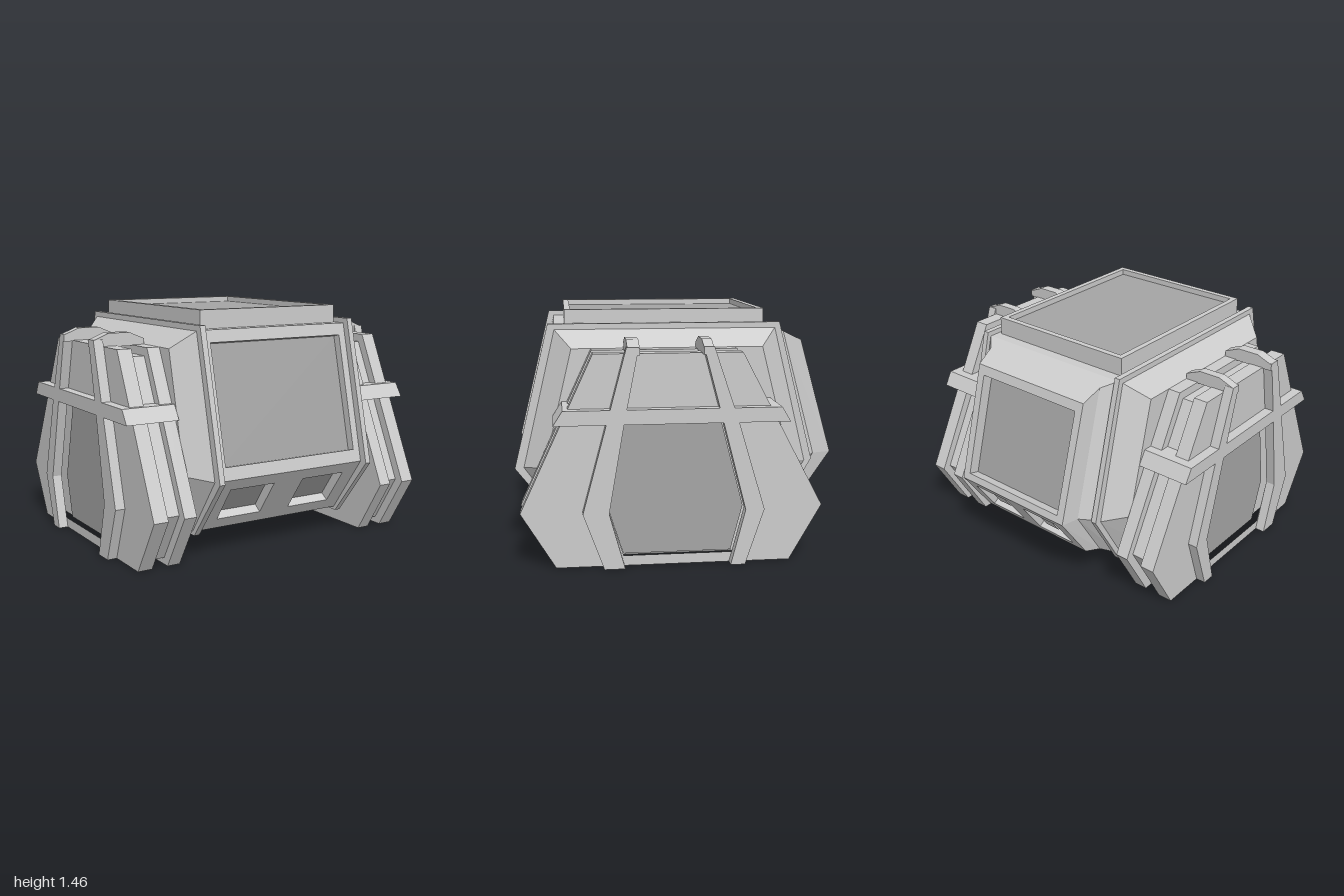
import * as THREE from 'three';

const grey = new THREE.MeshStandardMaterial({ color: 0xcccccc, flatShading: true });
const dark = new THREE.MeshStandardMaterial({ color: 0xa4a4a4, flatShading: true });

function add(parent, name, geometry, material = grey) {
  const mesh = new THREE.Mesh(geometry, material);
  mesh.name = name;
  parent.add(mesh);
  return mesh;
}

// Geometry from convex polygons, each a list of [x, y, z] corners
function polygons(list) {
  const pos = [];
  for (const p of list)
    for (let i = 1; i < p.length - 1; i++) pos.push(...p[0], ...p[i], ...p[i + 1]);
  const g = new THREE.BufferGeometry();
  g.setAttribute('position', new THREE.Float32BufferAttribute(pos, 3));
  g.computeVertexNormals();
  return g;
}

// Band of quads between two closed rings
const loft = (a, b) => a.map((p, i) => {
  const j = (i + 1) % a.length;
  return [p, a[j], b[j], b[i]];
});

// Side profile of [z, y] points extruded across x
function prism(profile, xa, xb, hole) {
  const toPts = (pts) => pts.map(([z, y]) => new THREE.Vector2(-z, y));
  const shape = new THREE.Shape(toPts(profile));
  if (hole) shape.holes.push(new THREE.Path(toPts(hole)));
  const g = new THREE.ExtrudeGeometry(shape, { depth: Math.abs(xb - xa), bevelEnabled: false });
  return g.rotateY(Math.PI / 2).translate(Math.min(xa, xb), 0, 0);
}

// Flat face from a bottom edge to a top edge ([z, y] each) with recessed rectangles
// hole: [u0, u1, t0, t1], u across and t as a fraction of the height
function recessedFace(parent, name, half, bottom, top, dir, holes, depth, stud) {
  const v = new THREE.Vector3(0, top[1] - bottom[1], top[0] - bottom[0]);
  const len = v.length();
  v.normalize();
  const u = new THREE.Vector3(dir, 0, 0);
  const face = new THREE.Group();
  face.name = name;
  face.applyMatrix4(new THREE.Matrix4().makeBasis(u, v, u.clone().cross(v)).setPosition(0, bottom[1], bottom[0]));
  const vec = (pts) => pts.map(([x, y]) => new THREE.Vector2(x, y));
  const shape = new THREE.Shape(vec([[-half, 0], [half, 0], [half, len], [-half, len]]));
  for (const [u0, u1, t0, t1] of holes) {
    const c = [[u0, t0 * len], [u1, t0 * len], [u1, t1 * len], [u0, t1 * len]];
    shape.holes.push(new THREE.Path(vec(c)));
    const floor = c.map(([x, y]) => [x, y, -depth]);
    add(face, name + 'Recess', polygons(loft(c.map(([x, y]) => [x, y, 0]), floor)));
    add(face, name + 'Panel', polygons([floor]), dark);
    if (stud) {
      const s = add(face, name + 'Stud', new THREE.BoxGeometry(stud, stud, depth * 0.7));
      s.position.set((u0 + u1) / 2, (t0 + t1) * len / 2, -depth * 0.65);
    }
  }
  add(face, name + 'Surface', new THREE.ShapeGeometry(shape));
  parent.add(face);
}

// Hull side profile, counter-clockwise seen from +x
const HULL = [[0.7, 0.155], [-0.6, 0.155], [-0.8, 0.505], [-0.595, 1.345], [0.75, 1.345], [0.95, 0.505]];
const BULGE = [[0.62, 0.24], [-0.51, 0.24], [-0.67, 0.53], [-0.49, 1.24], [0.65, 1.24], [0.82, 0.53]];
const FLANGE = [[0.715, 0.135], [-0.62, 0.135], [-0.84, 0.515], [-0.62, 1.375], [0.785, 1.375], [1, 0.5]];

function hull() {
  const g = new THREE.Group();
  g.name = 'hull';
  const w = 0.515;
  add(g, 'floorAndRoof', polygons([
    [[-w, 0.155, -0.6], [w, 0.155, -0.6], [w, 0.155, 0.7], [-w, 0.155, 0.7]],
    [[-w, 1.345, 0.75], [w, 1.345, 0.75], [w, 1.345, -0.595], [-w, 1.345, -0.595]],
  ]));

  // Front windscreen and lower vents
  recessedFace(g, 'frontWindow', w, HULL[5], HULL[4], 1, [[-0.465, 0.465, 0.09, 0.915]], 0.05);
  recessedFace(g, 'frontVent', w, HULL[0], HULL[5], 1,
    [[-0.41, -0.105, 0.2, 0.8], [0.105, 0.41, 0.2, 0.8]], 0.06);

  // Rear housing, tapering in two steps
  const ring = (x, p) => [[x, p[0]], [-x, p[0]], [-x, p[1]], [-x, p[2]], [x, p[2]], [x, p[1]]]
    .map(([px, [z, y]]) => [px, y, z]);
  const base = ring(w, [HULL[1], HULL[2], HULL[3]]);
  const mid = ring(0.44, [[-0.68, 0.195], [-0.88, 0.525], [-0.67, 1.308]]);
  const end = [[-0.79, 0.23], [-0.995, 0.53], [-0.79, 1.25]];
  add(g, 'rearHousing', polygons([...loft(base, mid), ...loft(mid, ring(0.42, end))]));
  recessedFace(g, 'rearWindow', 0.42, end[1], end[2], -1, [[-0.37, 0.37, 0.06, 0.92]], 0.07);
  recessedFace(g, 'rearVent', 0.42, end[0], end[1], -1,
    [[-0.34, -0.07, 0.16, 0.84], [0.07, 0.34, 0.16, 0.84]], 0.06, 0.1);

  // Raised roof hatch
  const hatch = (y) => [[-0.485, y, 0.685], [0.485, y, 0.685], [0.485, y, -0.53], [-0.485, y, -0.53]];
  add(g, 'roofHatchSides', polygons(loft(hatch(1.34), hatch(1.455))));
  recessedFace(g, 'roofHatch', 0.485, [0.685, 1.455], [-0.53, 1.455], 1, [[-0.45, 0.45, 0.03, 0.97]], 0.035);

  // Side flanges and bevelled cheeks
  for (const s of [1, -1]) {
    add(g, 'sideFlange', prism(FLANGE, s * 0.51, s * 0.545));
    const at = (x, profile) => profile.map(([z, y]) => [s * x, y, z]);
    const outer = at(0.67, BULGE);
    const faces = [...loft(at(0.54, HULL), outer), outer];
    add(g, 'sideCheek', polygons(s > 0 ? faces : faces.map((f) => [...f].reverse())));
  }
  return g;
}

// Side pod: twin plates on a narrower core, bound with straps
function pod(s) {
  const g = new THREE.Group();
  g.name = s > 0 ? 'leftPod' : 'rightPod';
  const part = (name, profile, x0, x1, hole, mat) => add(g, name, prism(profile, s * x0, s * x1, hole), mat);
  const plate = [[0.76, 0], [0.96, 0.33], [0.535, 1.24], [-0.32, 1.24], [-0.8, 0.33], [-0.61, 0]];
  const core = [[0.72, 0.04], [0.9, 0.335], [0.5, 1.19], [-0.285, 1.19], [-0.745, 0.335], [-0.57, 0.04]];
  const opening = [[0.365, 0.85], [-0.2, 0.85], [-0.335, 0.33], [-0.265, 0.06], [0.37, 0.06], [0.455, 0.33]];
  part('podInnerPlate', plate, 0.67, 0.75);
  part('podCore', core, 0.74, 0.86);
  part('podOuterPlate', plate, 0.85, 0.94, opening);
  part('podPanel', opening, 0.855, 0.9, null, dark);

  // Belt around the pod
  part('podBelt', [[0.71, 0.93], [0.765, 0.845], [-0.59, 0.845], [-0.54, 0.93]], 0.67, 1);

  // Bent upright straps and the caps that hook over the top
  part('frontStrap', [[0.35, 1.28], [0.465, 0.85], [0.605, 0.33], [0.485, 0],
    [0.365, 0], [0.455, 0.33], [0.365, 0.85], [0.28, 1.28]], 0.94, 1);
  part('rearStrap', [[-0.085, 1.28], [-0.2, 0.85], [-0.335, 0.33], [-0.25, 0],
    [-0.335, 0], [-0.445, 0.33], [-0.29, 0.85], [-0.145, 1.28]], 0.94, 1);
  const cap = new THREE.Shape([[0.67, 1.235], [0.67, 1.275], [0.765, 1.315], [0.9, 1.315], [1, 1.275], [1, 1.235]]
    .map(([x, y]) => new THREE.Vector2(s * x, y)));
  for (const [z0, z1] of [[0.275, 0.345], [-0.142, -0.085]])
    add(g, 'strapCap', new THREE.ExtrudeGeometry(cap, { depth: z1 - z0, bevelEnabled: false }).translate(0, 0, z0));
  return g;
}

export function createModel() {
  const model = new THREE.Group();
  model.name = 'cabinModule';
  model.add(hull(), pod(1), pod(-1));
  return model;
}
